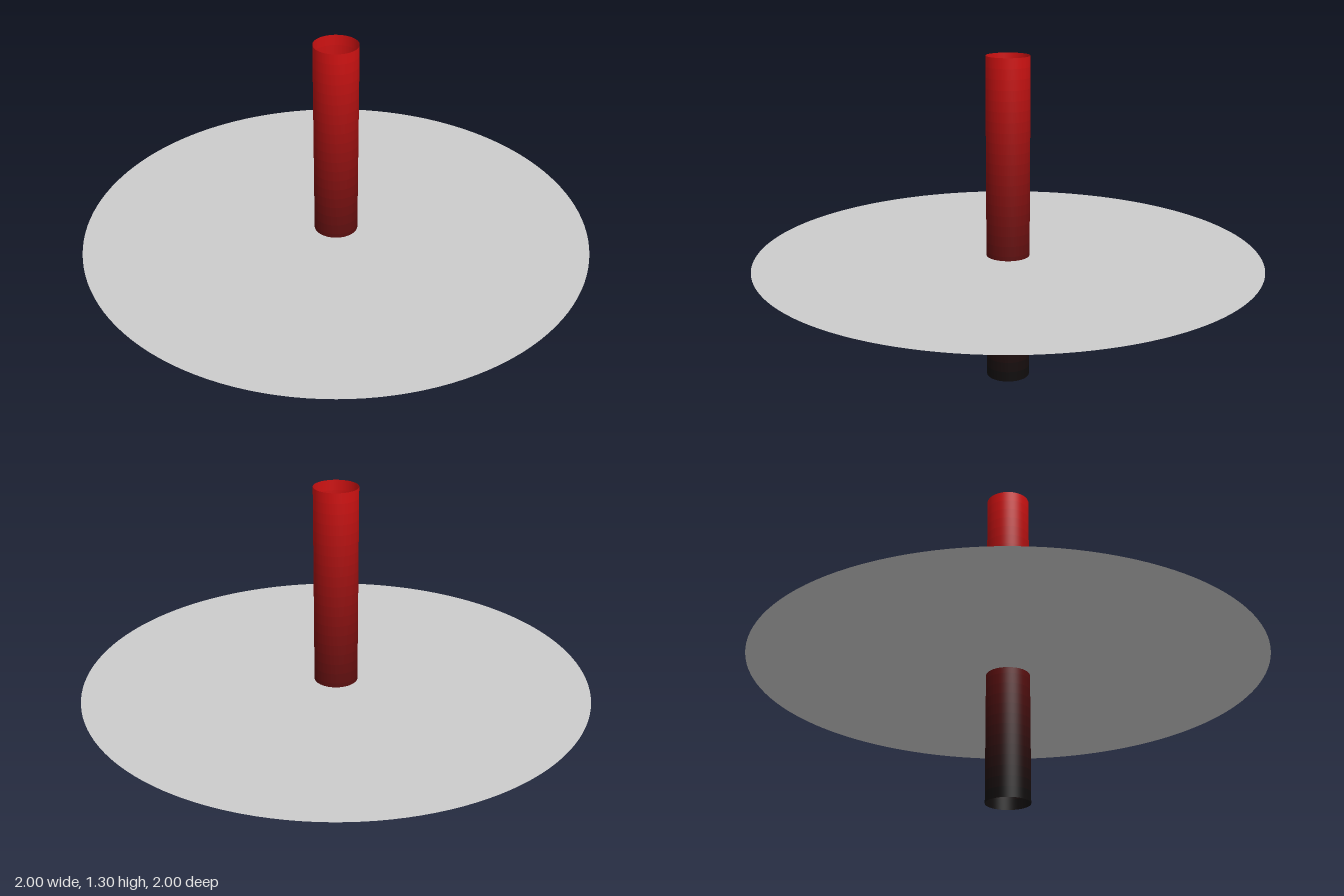
import * as THREE from 'three';

const HEIGHT = 1.305, RADIUS = 0.086, DISC_Y = 0.513, BANDS = 32, SIDES = 96;

export function createModel() {
  const model = new THREE.Group();

  // Open tube, shaded from black at the foot to red at the rim in narrow bands
  const tube = new THREE.Group();
  tube.name = 'tube';
  const bandHeight = HEIGHT / BANDS;
  const bandGeometry = new THREE.CylinderGeometry(RADIUS, RADIUS, bandHeight, SIDES, 1, true);
  for (let i = 0; i < BANDS; i++) {
    const t = (i + 0.5) / BANDS;
    const color = new THREE.Color().setRGB(0.05 + 0.77 * t, 0.05 + 0.02 * t, 0.05 + 0.02 * t, THREE.SRGBColorSpace);
    const band = new THREE.Mesh(bandGeometry, new THREE.MeshStandardMaterial({ color, side: THREE.DoubleSide }));
    band.name = `tubeBand${i + 1}`;
    band.position.y = (i + 0.5) * bandHeight;
    tube.add(band);
  }
  model.add(tube);

  // Flat, paper-thin disc with a hole that fits round the tube
  const disc = new THREE.Mesh(
    new THREE.RingGeometry(RADIUS, 1, 128, 1),
    new THREE.MeshStandardMaterial({ color: 0xcccccc, side: THREE.DoubleSide })
  );
  disc.name = 'disc';
  disc.rotation.x = -Math.PI / 2;
  disc.position.y = DISC_Y;
  model.add(disc);

  return model;
}
